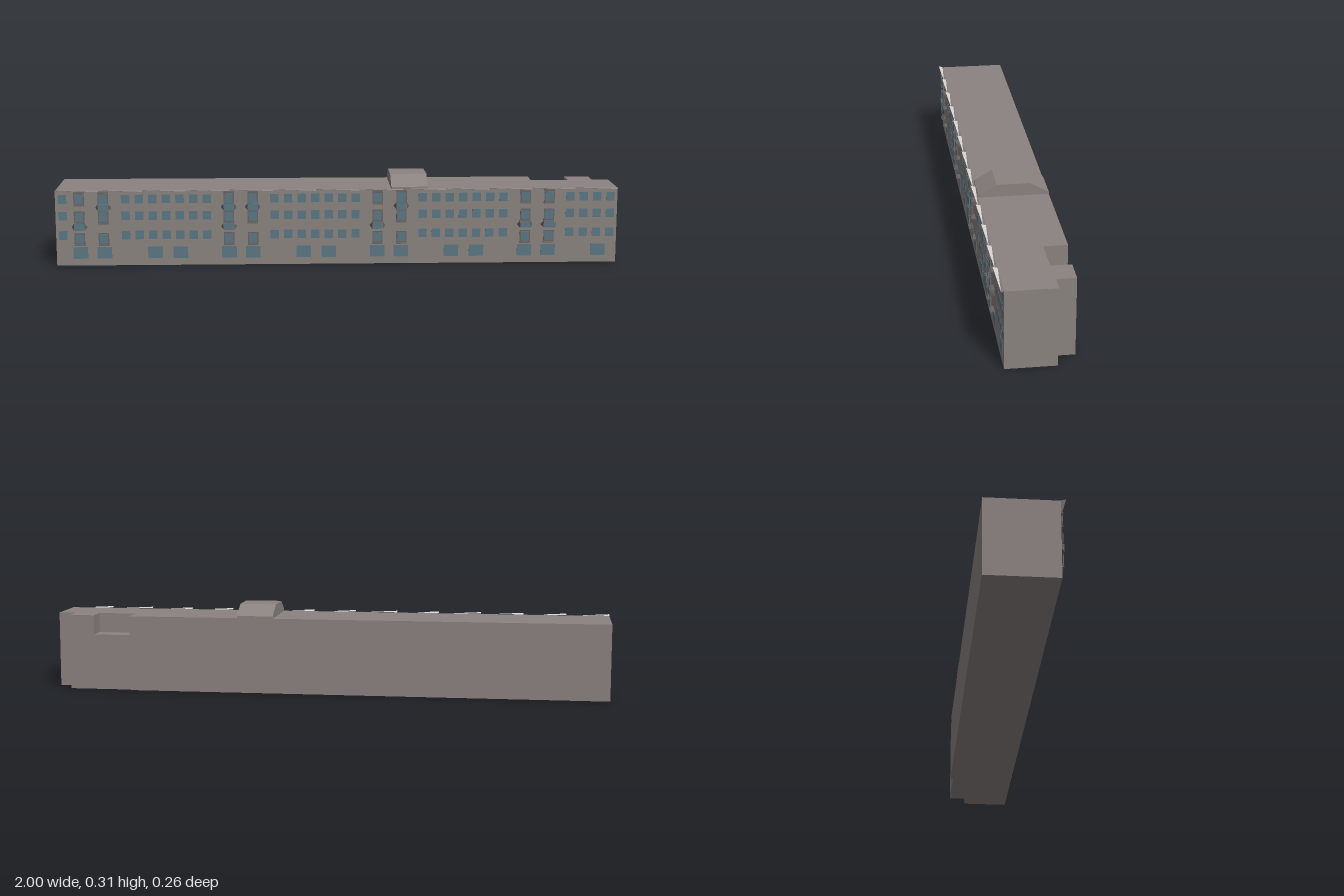
import * as THREE from 'three';

const mat = (name, color, side = THREE.FrontSide) => {
  const m = new THREE.MeshStandardMaterial({ color, side });
  m.name = name;
  return m;
};

export function createModel() {
  const wall = mat('warm grey render', 0x8b8380);
  const glass = mat('blue grey glass', 0x5b7885);
  const trim = mat('dark grey trim', 0x6a6361, THREE.DoubleSide);
  const eaveGrey = mat('eave grey', 0x8a8380, THREE.DoubleSide);
  const eaveLight = mat('eave light', 0xd6d3d0, THREE.DoubleSide);
  const model = new THREE.Group();
  model.name = 'terraceBuilding';
  const FRONT = 0.113, TOP = 0.27;

  const add = (name, geometry, material, parent = model) => {
    const mesh = new THREE.Mesh(geometry, material);
    mesh.name = name;
    parent.add(mesh);
    return mesh;
  };
  const group = (name) => {
    const g = new THREE.Group();
    g.name = name;
    model.add(g);
    return g;
  };
  // Footprint of [x, z] points raised from y0 to y1
  const storey = (name, points, y0, y1) => {
    const shape = new THREE.Shape(points.map(([x, z]) => new THREE.Vector2(x, -z)));
    const g = new THREE.ExtrudeGeometry(shape, { depth: y1 - y0, bevelEnabled: false });
    g.rotateX(-Math.PI / 2).translate(0, y0, 0);
    return add(name, g, wall);
  };
  // Open faces: each row of points is one triangle
  const faces = (...points) => {
    const g = new THREE.BufferGeometry();
    g.setAttribute('position', new THREE.Float32BufferAttribute(points.flat(), 3));
    g.computeVertexNormals();
    return g;
  };
  const plate = (name, x, y, z, w, h, material, parent, d = 0.002) =>
    add(name, new THREE.BoxGeometry(w, h, d), material, parent).position.set(x, y, z);

  // Long block with a stepped back corner and a sunken roof terrace
  const start = [[-1, FRONT], [1, FRONT], [1, -0.055], [0.94, -0.055], [0.94, -0.12]];
  const end = [[0.715, -0.13], [-1, -0.13]];
  storey('lowerWalls', [...start, [0.715, -0.12], ...end], 0, 0.2);
  storey('upperWalls',
    [...start, [0.85, -0.12], [0.85, -0.05], [0.715, -0.05], ...end], 0.2, TOP);

  // Raised roof lantern with sloping front and back
  const lantern = new THREE.Shape([
    [-FRONT, TOP], [0.13, TOP], [0.13, 0.278], [0.065, 0.314], [-0.05, 0.314], [-FRONT, 0.278],
  ].map(([z, y]) => new THREE.Vector2(z, y)));
  add('roofLantern',
    new THREE.ExtrudeGeometry(lantern, { depth: 0.13, bevelEnabled: false })
      .rotateY(Math.PI / 2).translate(0.19, 0, 0), wall);

  // Canted eave sheets along the front
  const eaves = group('eaves');
  const n = 13, step = 2 / n;
  for (let i = 0; i < n; i++) {
    const a = -1 + i * step, b = a + step;
    const back0 = [a, TOP + 0.001, FRONT], back1 = [b, TOP + 0.001, FRONT];
    const tip0 = [a, 0.275, 0.129], tip1 = [b, 0.267, 0.122];
    add('eaveSheet', faces(back0, tip1, back1), eaveGrey, eaves);
    add('eaveEdge', faces(back0, tip0, tip1), eaveLight, eaves);
  }

  // Flush windows: three upper rows in bays of seven, larger ones at street level
  const windows = group('windows');
  const rows = [0.24, 0.18, 0.11];
  const upper = (x) => rows.forEach((y) =>
    plate('window', x, y, FRONT, 0.03, 0.031, glass, windows));
  const street = (x) => plate('streetWindow', x, 0.046, FRONT, 0.052, 0.042, glass, windows);
  upper(-0.975);
  for (let bay = 0; bay < 4; bay++) {
    const x0 = -0.915 + bay * 0.528;
    for (let i = 0; i < 7; i++) {
      const x = x0 + 0.162 + i * 0.048;
      if (x < 0.99) upper(x);
    }
    [0, 0.085, 0.265, 0.355].forEach((dx) => {
      if (x0 + dx < 0.97) street(x0 + dx);
    });
  }

  // Paired columns of projecting windows with flared balconies
  const columns = group('projectingWindows');
  const balcony = (x, y) => {
    const w = 0.028, z0 = FRONT, z1 = 0.13;
    const l = [x - w, y, z0], r = [x + w, y, z0];
    const lt = [x - 0.019, y + 0.015, z1], rt = [x + 0.019, y + 0.015, z1];
    const lb = [x - 0.019, y - 0.01, z1], rb = [x + 0.019, y - 0.01, z1];
    add('balcony', faces(l, lb, lt, r, rt, rb, l, r, rb, l, rb, lb), trim, columns);
    plate('balconyGlass', x, y + 0.0025, z1 - 0.001, 0.036, 0.025, glass, columns);
  };
  const levels = [[[0.14], [0.21]], [[0.14, 0.21], [0.21]], [[0.14], [0.21]], [[0.14], [0.14]]];
  levels.forEach((pair, bay) => pair.forEach((balconies, side) => {
    const x = -0.915 + bay * 0.528 + side * 0.085;
    [0.243, 0.178, 0.1].forEach((y) => {
      plate('frame', x, y, 0.1255, 0.037, 0.041, trim, columns);
      plate('pane', x, y, 0.127, 0.029, 0.033, glass, columns);
      plate('sill', x, y - 0.024, 0.121, 0.037, 0.003, trim, columns, 0.016);
    });
    plate('canopy', x, 0.266, 0.121, 0.037, 0.003, trim, columns, 0.016);
    balconies.forEach((y) => balcony(x, y));
  }));

  return model;
}
